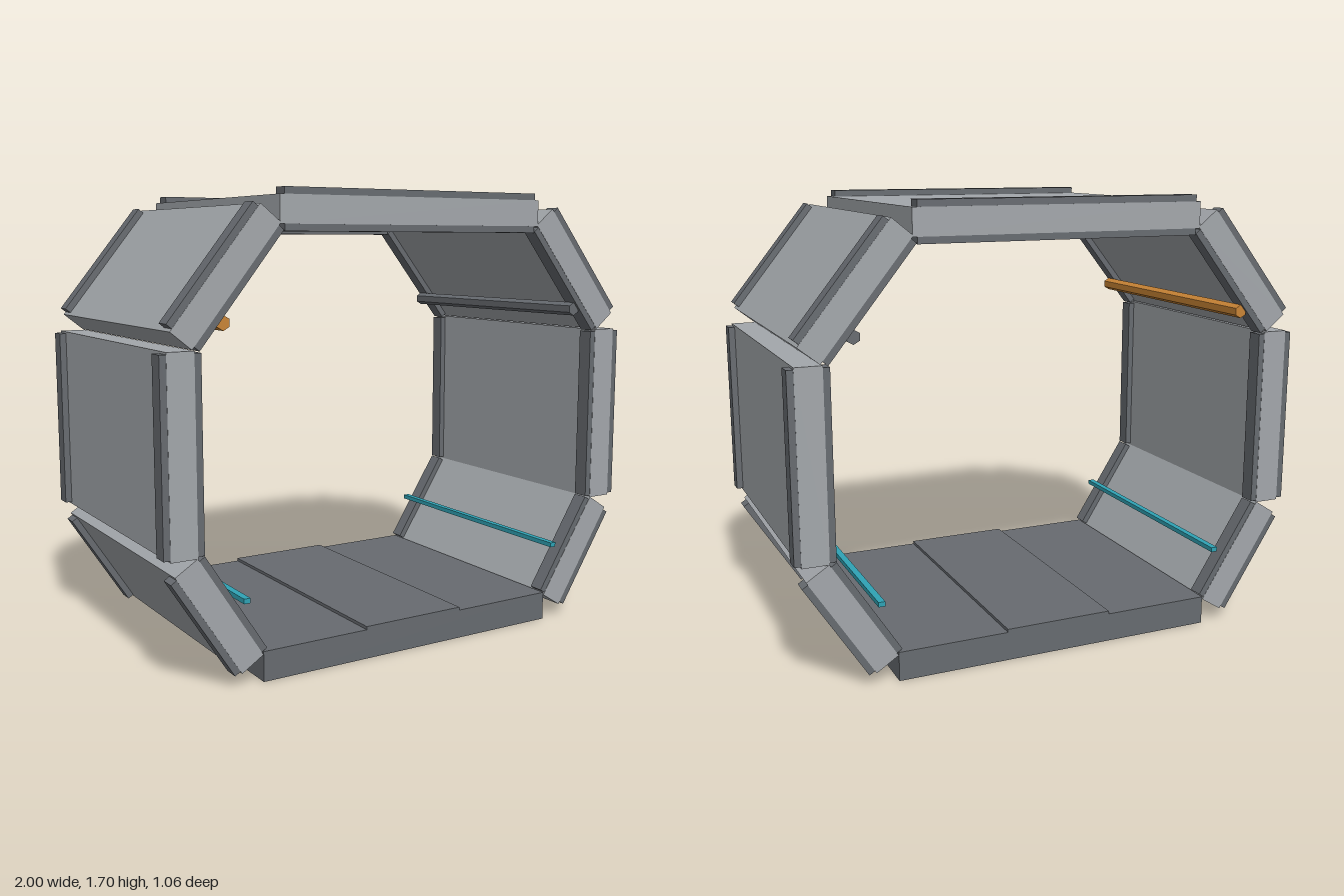
import * as THREE from 'three';

const material = (name, color) => {
  const m = new THREE.MeshStandardMaterial({ color });
  m.name = name;
  return m;
};

export function createModel() {
  const root = new THREE.Group();
  root.name = 'corridorSection';
  const panelGrey = material('panelGrey', 0xa3a7ab);
  const frameGrey = material('frameGrey', 0x676b70);
  const pipeOrange = material('pipeOrange', 0xc98435);
  const lightCyan = material('lightCyan', 0x2fa3b5);

  const add = (parent, name, geometry, mat, x, y, z = 0) => {
    const mesh = new THREE.Mesh(geometry, mat);
    mesh.name = name;
    mesh.position.set(x, y, z);
    parent.add(mesh);
    return mesh;
  };
  const box = (w, h, d) => new THREE.BoxGeometry(w, h, d);

  // Wall plate with a thicker rib at each open end; its length runs along local x
  const wall = (name, x, y, angle, length, ribLength) => {
    const group = new THREE.Group();
    group.name = name;
    group.position.set(x, y, 0);
    group.rotation.z = angle;
    add(group, 'panel', box(length, 0.098, 1.062), panelGrey, 0, 0);
    for (const side of [-1, 1]) {
      add(group, 'rib', box(ribLength, 0.147, 0.06), frameGrey, 0, 0, side * 0.5);
    }
    root.add(group);
  };

  // Floor slab with a raised walkway
  add(root, 'floor', box(1.275, 0.11, 1.06), frameGrey, 0, 0.055);
  add(root, 'walkway', box(0.425, 0.02, 1.06), frameGrey, 0, 0.112);

  // Ceiling
  wall('ceiling', 0, 1.622, 0, 1.12, 1.085);

  // Walls, pipes and light strips on both sides
  for (const s of [-1, 1]) {
    const side = s > 0 ? 'left' : 'right';
    wall(side + 'LowerWall', s * 0.8, 0.262, s * 1.004, 0.447, 0.425);
    wall(side + 'Wall', s * 0.926, 0.821, Math.PI / 2, 0.69, 0.675);
    wall(side + 'UpperWall', s * 0.759, 1.404, -s * 0.894, 0.525, 0.5);

    const pipe = new THREE.CylinderGeometry(0.026, 0.026, 1.04, 6).toNonIndexed();
    pipe.rotateX(Math.PI / 2);
    pipe.computeVertexNormals();
    add(root, side + 'Pipe', pipe, s < 0 ? pipeOrange : frameGrey, s * 0.768, 1.251);
    add(root, side + 'LightStrip', box(0.025, 0.018, 1.04), lightCyan, s * 0.693, 0.298);
  }
  return root;
}
